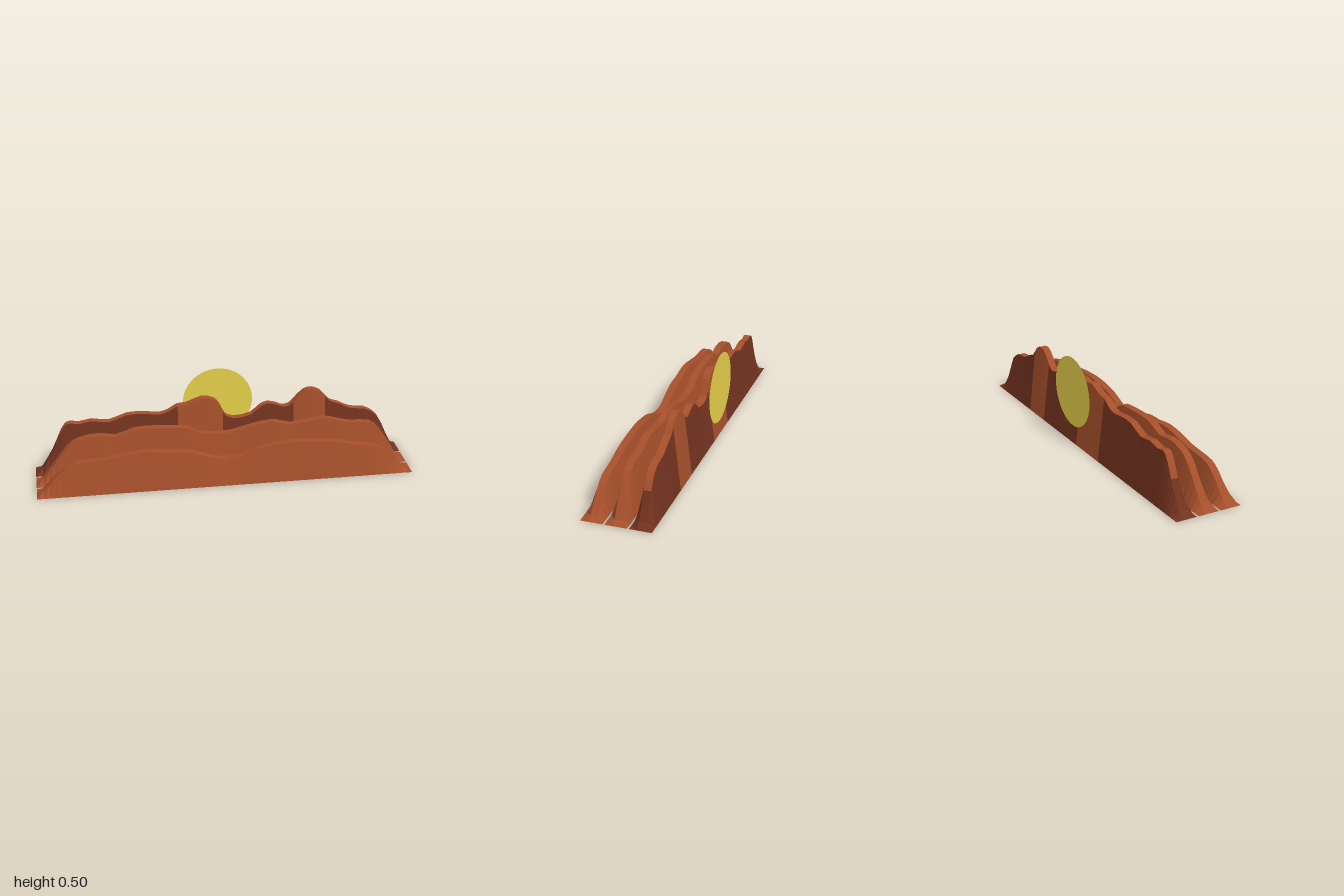
import * as THREE from 'three';

function flatColour(name, color) {
  const material = new THREE.MeshStandardMaterial({ color, side: THREE.DoubleSide });
  material.name = name;
  return material;
}
const clay = flatColour('clay', 0xa54f2b);
const darkClay = flatColour('dark clay', 0x72321f);
const sunYellow = flatColour('sun yellow', 0xe4cf4a);

const BASE = 0.0575; // half depth at the ground
const CREST = 0.019; // half depth of the flat crest

// Skyline points (x, height); the ground points at x = -1 and 1 are added later
const frontLine = [
  [-0.96, 0.03], [-0.9, 0.095], [-0.85, 0.14], [-0.8, 0.167], [-0.7, 0.176], [-0.63, 0.181],
  [-0.5, 0.204], [-0.4, 0.211], [-0.3, 0.197], [-0.22, 0.194], [-0.15, 0.177], [-0.06, 0.146],
  [0, 0.138], [0.08, 0.15], [0.16, 0.181], [0.25, 0.2], [0.36, 0.21], [0.48, 0.205],
  [0.6, 0.192], [0.7, 0.167], [0.8, 0.154], [0.87, 0.11], [0.96, 0.015],
];
const middleLine = [
  [-0.96, 0.03], [-0.9, 0.11], [-0.83, 0.2], [-0.77, 0.243], [-0.65, 0.26], [-0.57, 0.247],
  [-0.48, 0.279], [-0.4, 0.285], [-0.25, 0.277], [-0.18, 0.267], [-0.13, 0.236], [0.03, 0.228],
  [0.12, 0.25], [0.2, 0.268], [0.28, 0.274], [0.36, 0.252], [0.46, 0.265], [0.55, 0.275],
  [0.62, 0.258], [0.69, 0.24], [0.8, 0.232], [0.86, 0.18], [0.96, 0.015],
];
const backLine = [
  [-0.96, 0.03], [-0.9, 0.13], [-0.87, 0.2], [-0.83, 0.273], [-0.8, 0.284], [-0.76, 0.276],
  [-0.69, 0.289], [-0.6, 0.276], [-0.5, 0.311], [-0.4, 0.311], [-0.33, 0.302], [-0.28, 0.315],
  [-0.23, 0.345], [-0.18, 0.35], [-0.1, 0.38], [-0.03, 0.366], [0, 0.33], [0.03, 0.27],
  [0.08, 0.252], [0.17, 0.268], [0.22, 0.31], [0.26, 0.326], [0.31, 0.315], [0.34, 0.302],
  [0.38, 0.308], [0.42, 0.35], [0.46, 0.386], [0.5, 0.395], [0.55, 0.375], [0.6, 0.318],
  [0.65, 0.3], [0.72, 0.266], [0.8, 0.257], [0.87, 0.21], [0.92, 0.11], [0.96, 0.03],
];

// Hollow ridge, open below, with sloping sides and a flat crest;
// isDark(x, face) picks the colour
function ridge(name, line, z, isDark) {
  const curve = new THREE.CatmullRomCurve3(line.map(([x, y]) => new THREE.Vector3(x, y, 0)));
  const points = [
    new THREE.Vector3(-1, 0, 0),
    ...curve.getPoints((line.length - 1) * 2),
    new THREE.Vector3(1, 0, 0),
  ];
  const sections = points.map(({ x, y }) => [
    [x, 0, BASE], [x, y, CREST], [x, y, -CREST], [x, 0, -BASE],
  ]);
  const faces = ['side', 'crest', 'side'];
  const parts = [[], []];
  for (let i = 0; i < sections.length - 1; i++) {
    const a = sections[i], b = sections[i + 1];
    const mid = (points[i].x + points[i + 1].x) / 2;
    faces.forEach((face, k) => {
      parts[isDark(mid, face) ? 1 : 0].push(
        ...a[k], ...b[k], ...b[k + 1], ...a[k], ...b[k + 1], ...a[k + 1]);
    });
  }
  // One draw group per colour
  const geometry = new THREE.BufferGeometry();
  geometry.setAttribute('position', new THREE.Float32BufferAttribute(parts.flat(), 3));
  geometry.computeVertexNormals();
  geometry.addGroup(0, parts[0].length / 3, 0);
  if (parts[1].length) geometry.addGroup(parts[0].length / 3, parts[1].length / 3, 1);
  const mesh = new THREE.Mesh(geometry, [clay, darkClay]);
  mesh.name = name;
  mesh.position.z = z;
  return mesh;
}

export function createModel() {
  const group = new THREE.Group();
  group.name = 'desertRidges';

  group.add(ridge('frontRidge', frontLine, 0.1375, () => false));
  group.add(ridge('middleRidge', middleLine, 0.0125, () => false));

  // Dark back ridge with two lighter bands and a light crest
  group.add(ridge('backRidge', backLine, -0.1125, (x, face) => {
    const lightBand = (x > -0.24 && x < 0.01) || (x > 0.4 && x < 0.57);
    const lightCrest = face === 'crest' && Math.abs(x) < 0.89;
    return !lightBand && !lightCrest;
  }));

  // Flat sun disc standing behind the ridges
  const sun = new THREE.Mesh(new THREE.CircleGeometry(0.19, 64), sunYellow);
  sun.name = 'sun';
  sun.position.set(0, 0.315, -0.195);
  group.add(sun);

  return group;
}
